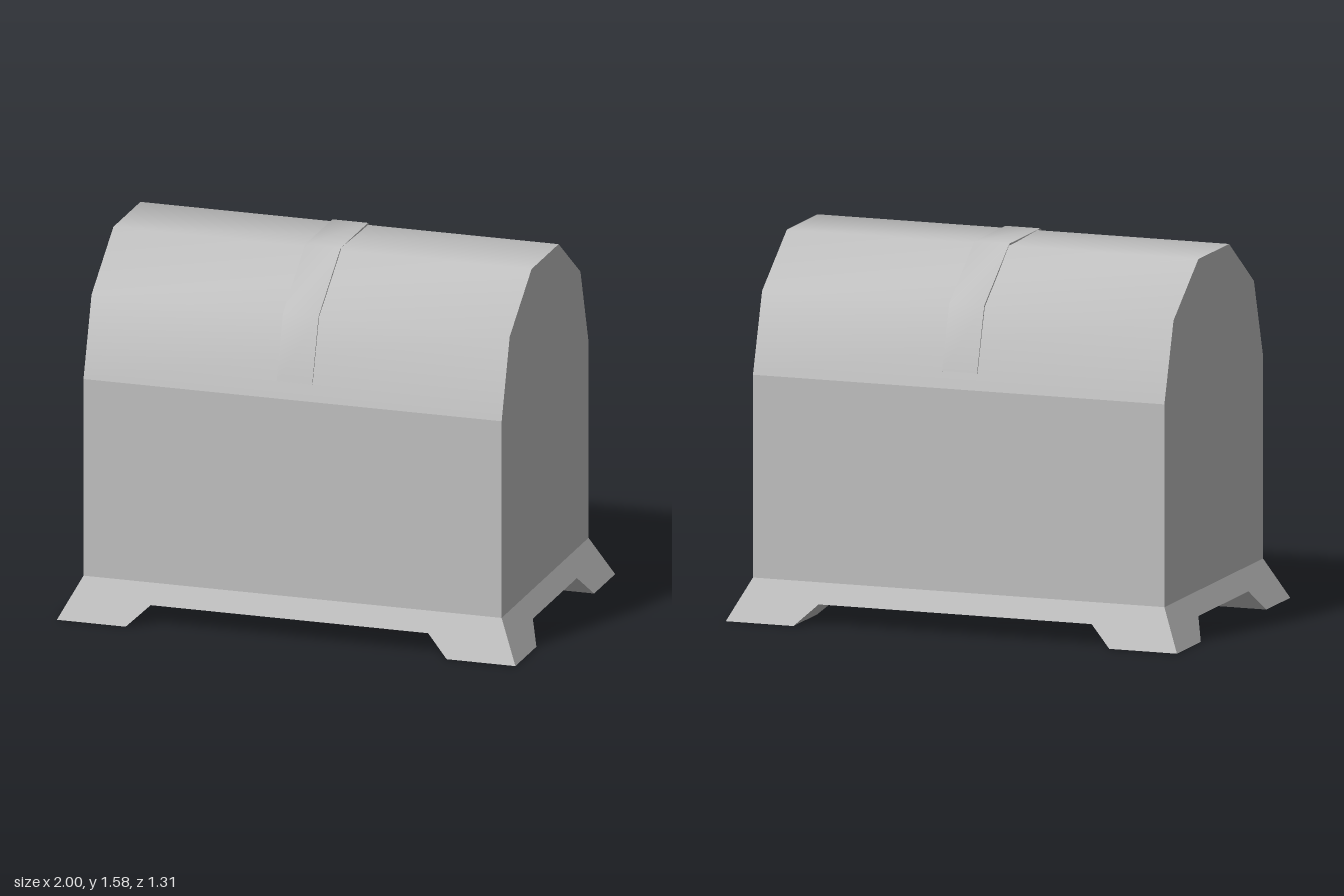
import * as THREE from 'three';

const stone = new THREE.MeshStandardMaterial({ color: 0xc0c0c0, side: THREE.DoubleSide });
stone.name = 'pale grey';

// main half-sizes: body, flared foot line, and the raised floor of the base
const BX = 0.912, BZ = 0.572, FX = 1.0, FZ = 0.657;
const SKIRT_Y = 0.175, FLOOR_Y = 0.09, LID_Y = 1.03;
const flare = (y) => (SKIRT_Y - y) / SKIRT_Y;
const flareX = (y) => BX + (FX - BX) * flare(y);
const flareZ = (y) => BZ + (FZ - BZ) * flare(y);

// arched profiles as [z, y], front to back
const mirrorProfile = (half) => [...half, ...half.map(([z, y]) => [-z, y]).reverse()];
const lidProfile = mirrorProfile([[BZ, LID_Y], [0.466, 1.365], [0.178, 1.572]]);
const strapProfile = mirrorProfile([[0.555, 1.1], [0.472, 1.37], [0.18, 1.58]]);

function addMesh(group, name, geometry) {
  const mesh = new THREE.Mesh(geometry, stone);
  mesh.name = name;
  group.add(mesh);
  return mesh;
}

// smooth sheet swept across x along a [z, y] profile
function sweep(profile, x0, x1) {
  const positions = [], index = [];
  profile.forEach(([z, y], i) => {
    positions.push(x0, y, z, x1, y, z);
    if (i) {
      const a = 2 * i - 2;
      index.push(a, a + 1, a + 3, a, a + 3, a + 2);
    }
  });
  const g = new THREE.BufferGeometry();
  g.setAttribute('position', new THREE.Float32BufferAttribute(positions, 3));
  g.setIndex(index);
  g.computeVertexNormals();
  return g;
}

// flat face from corners in order
function quad(corners, flip) {
  const g = new THREE.BufferGeometry();
  g.setAttribute('position', new THREE.Float32BufferAttribute(corners.flat(), 3));
  g.setIndex(flip ? [0, 2, 1, 0, 3, 2] : [0, 1, 2, 0, 2, 3]);
  g.computeVertexNormals();
  return g;
}

const flatShape = (points) =>
  new THREE.ShapeGeometry(new THREE.Shape(points.map(([a, b]) => new THREE.Vector2(a, b))));

// flared panel with the cut-out between two feet, leaning outward as it drops
function skirtPanel(top, bottom, footInner, gapInner, depthAt) {
  const half = [[top, SKIRT_Y], [bottom, 0], [footInner, 0], [gapInner, FLOOR_Y]];
  const g = flatShape([...half, ...half.map(([a, y]) => [-a, y]).reverse()]);
  const p = g.attributes.position;
  for (let i = 0; i < p.count; i++) p.setZ(i, depthAt(p.getY(i)));
  g.computeVertexNormals();
  return g;
}

export function createModel() {
  const model = new THREE.Group();
  model.name = 'chest';

  // body walls and arched lid
  addMesh(model, 'frontWall', sweep([[BZ, SKIRT_Y], [BZ, LID_Y]], -BX, BX));
  addMesh(model, 'backWall', sweep([[-BZ, LID_Y], [-BZ, SKIRT_Y]], -BX, BX));
  addMesh(model, 'lid', sweep(lidProfile, -BX, BX));
  for (const s of [1, -1]) {
    const end = flatShape([[BZ, SKIRT_Y], ...lidProfile, [-BZ, SKIRT_Y]]);
    end.rotateY(s * Math.PI / 2).translate(s * BX, 0, 0);
    addMesh(model, s > 0 ? 'leftEndWall' : 'rightEndWall', end);
  }

  // raised strap over the lid, with thin edges closing down to it
  const strap = new THREE.Group();
  strap.name = 'lidStrap';
  model.add(strap);
  const S0 = -0.075, S1 = 0.08;
  addMesh(strap, 'strapTop', sweep(strapProfile, S0, S1));
  for (const s of [1, -1]) {
    addMesh(strap, 'strapEnd', quad([
      [S0, 1.1, s * 0.545], [S1, 1.1, s * 0.545], [S1, 1.1, s * 0.555], [S0, 1.1, s * 0.555],
    ], s < 0));
    const x = s > 0 ? S1 : S0;
    for (let i = 0; i < strapProfile.length - 1; i++) {
      const [z0, y0] = strapProfile[i], [z1, y1] = strapProfile[i + 1];
      addMesh(strap, 'strapEdge', quad([
        [x, y0, z0 * 0.98], [x, y1 - 0.01, z1 * 0.98], [x, y1, z1], [x, y0, z0],
      ], s > 0));
    }
  }

  // flared base skirt on all four sides
  for (const s of [1, -1]) {
    const long = skirtPanel(BX, FX, 0.7, 0.605, flareZ);
    const short = skirtPanel(BZ, FZ, 0.38, 0.29, flareX);
    if (s < 0) long.rotateY(Math.PI);
    short.rotateY(s * Math.PI / 2);
    addMesh(model, s > 0 ? 'frontSkirt' : 'backSkirt', long);
    addMesh(model, s > 0 ? 'leftSkirt' : 'rightSkirt', short);
  }

  // floor above the hollow feet
  const floor = new THREE.PlaneGeometry(2 * flareX(FLOOR_Y), 2 * flareZ(FLOOR_Y));
  floor.rotateX(Math.PI / 2).translate(0, FLOOR_Y, 0);
  addMesh(model, 'floor', floor);

  // sloped inner walls of each foot
  const fx = flareX(FLOOR_Y), fz = flareZ(FLOOR_Y);
  for (const sx of [1, -1]) for (const sz of [1, -1]) {
    const place = (list) => list.map(([x, y, z]) => [x * sx, y, z * sz]);
    const flip = sx * sz < 0;
    addMesh(model, 'footInnerSide', quad(place([
      [0.605, FLOOR_Y, 0.29], [0.7, 0, 0.38], [0.7, 0, FZ], [0.605, FLOOR_Y, fz],
    ]), flip));
    addMesh(model, 'footInnerFace', quad(place([
      [0.605, FLOOR_Y, 0.29], [fx, FLOOR_Y, 0.29], [FX, 0, 0.38], [0.7, 0, 0.38],
    ]), flip));
  }
  return model;
}
